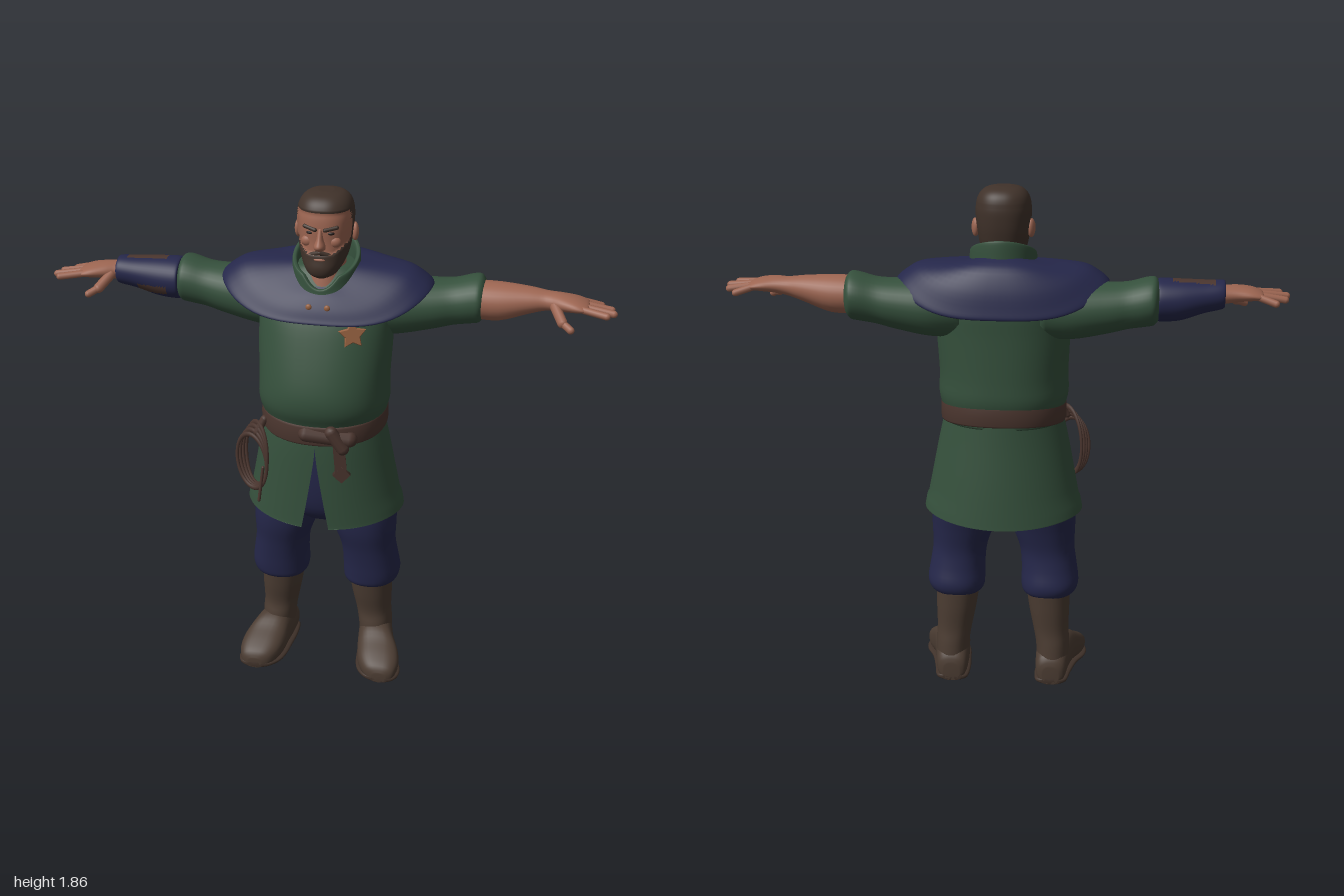
import * as THREE from 'three';

const TAU = Math.PI * 2;
const material = (name, color, side = THREE.FrontSide) => {
  const m = new THREE.MeshStandardMaterial({ color, side });
  m.name = name;
  return m;
};
const green = material('green cloth', 0x35503c, THREE.DoubleSide);
const navy = material('navy cloth', 0x25274a, THREE.DoubleSide);
const skin = material('skin', 0x9c6551);
const hair = material('hair', 0x40322a);
const leather = material('boot leather', 0x4b3c32);
const strap = material('strap leather', 0x4a352e);
const copper = material('copper', 0x95603f);
const dark = material('dark', 0x241c1a);

// Catmull-Rom subdivision of rows of numbers
function smooth(rows, k) {
  const out = [], at = i => rows[Math.max(0, Math.min(rows.length - 1, i))];
  for (let i = 0; i < rows.length - 1; i++) for (let s = 0; s < k; s++) {
    const t = s / k;
    out.push(rows[i].map((b, c) => {
      const a = at(i - 1)[c], d = at(i + 1)[c], e = at(i + 2)[c];
      return b + 0.5 * t * (d - a + t * (2 * a - 5 * b + 4 * d - e + t * (3 * (b - d) + e - a)));
    }));
  }
  out.push(rows[rows.length - 1]);
  return out;
}

// Skin over cross-sections; point(row, t) gives a position around each section
function loft(rows, point, { n = 32, k = 4, open = false, caps = true, pick } = {}) {
  const rr = smooth(rows, k), m = open ? n + 1 : n, pts = [], tris = [];
  rr.forEach(r => { for (let j = 0; j < m; j++) pts.push(new THREE.Vector3(...point(r, j / n))); });
  for (let i = 0; i < rr.length - 1; i++) for (let j = 0; j < n; j++) {
    const a = i * m + j, b = i * m + (j + 1) % m;
    tris.push([a, a + m, b], [b, a + m, b + m]);
  }
  const mean = list => list.reduce((s, p) => s.add(p), new THREE.Vector3()).divideScalar(list.length);
  if (caps) [0, (rr.length - 1) * m].forEach((base, end) => {
    const c = pts.push(mean(pts.slice(base, base + m))) - 1;
    for (let j = 0; j < n; j++) {
      const a = base + j, b = base + (j + 1) % m;
      tris.push(end ? [b, a, c] : [a, b, c]);
    }
  });
  // keep faces pointing outwards
  const mid = mean(pts), v = i => pts[i].clone().sub(mid);
  const volume = tris.reduce((s, [a, b, c]) => s + v(a).dot(v(b).cross(v(c))), 0);
  if (volume < 0) tris.forEach(t => t.reverse());
  const geo = new THREE.BufferGeometry().setFromPoints(pts);
  if (pick) {
    const sets = [[], []];
    tris.forEach(t => sets[pick(mean(t.map(i => pts[i]))) ? 1 : 0].push(...t));
    geo.setIndex(sets.flat());
    geo.addGroup(0, sets[0].length, 0);
    geo.addGroup(sets[0].length, sets[1].length, 1);
  } else geo.setIndex(tris.flat());
  geo.computeVertexNormals();
  return geo;
}

// Rounded section points: e = 2 is an ellipse, larger is boxier
const power = (v, e) => Math.sign(v) * Math.abs(v) ** (2 / e);
const oval = (a, rx, zf, zb, e = 2) =>
  [rx * power(Math.cos(a), e), (zf + zb) / 2 + (zf - zb) / 2 * power(Math.sin(a), e)];
// rows [y, centre x, half width, front z, back z]
const upright = (s = 1, e = 2.2) => ([y, cx, rx, zf, zb], t) => {
  const [x, z] = oval(t * TAU, rx, zf, zb, e);
  return [s * (cx + x), y, z];
};
// rows [x, centre y, half height, centre z, half depth]
const sideways = s => ([x, y, ry, z, rz], t) =>
  [s * x, y + ry * Math.sin(t * TAU), z + rz * Math.cos(t * TAU)];

export function createModel() {
  const model = new THREE.Group();
  model.name = 'ranger';
  const add = (name, geo, mat, pos = [0, 0, 0], rot = [0, 0, 0], scale = [1, 1, 1]) => {
    const mesh = new THREE.Mesh(geo, mat);
    mesh.name = name;
    mesh.position.set(...pos);
    mesh.rotation.set(...rot);
    mesh.scale.set(...scale);
    model.add(mesh);
    return mesh;
  };
  const ball = (name, mat, pos, scale, rot) => add(name, new THREE.SphereGeometry(1, 20, 14), mat, pos, rot, scale);
  const limb = (name, mat, from, to, r) => {
    const a = new THREE.Vector3(...from), b = new THREE.Vector3(...to), d = b.clone().sub(a);
    const mesh = add(name, new THREE.CapsuleGeometry(r, d.length(), 5, 10), mat, a.clone().add(b).divideScalar(2).toArray());
    mesh.quaternion.setFromUnitVectors(new THREE.Vector3(0, 1, 0), d.normalize());
  };

  // tunic body
  add('tunic', loft([
    [1.02, 0, .213, .2, -.168], [1.06, 0, .22, .208, -.172], [1.12, 0, .234, .232, -.188], [1.2, 0, .232, .23, -.187],
    [1.35, 0, .238, .184, -.185], [1.45, 0, .232, .143, -.185], [1.54, 0, .19, .085, -.165], [1.6, 0, .1, .05, -.12],
  ], upright(1, 2.25), { n: 48 }), green);

  // skirt with a front slit, hem turned inside; last column is half the slit
  add('skirt', loft([
    [1.05, .212, .2, -.168, 0], [.95, .235, .208, -.178, .002], [.8, .264, .211, -.196, .024],
    [.67, .289, .212, -.21, .047], [.655, .289, .212, -.21, .05], [.66, .272, .195, -.193, .055], [.74, .262, .19, -.185, .045],
  ], ([y, rx, zf, zb, w], t) => {
    const g = w / rx, a = Math.PI / 2 + g + t * (TAU - 2 * g), [x, z] = oval(a, rx, zf, zb);
    return [x, y + (y < .7 ? .022 * Math.cos(a) ** 2 : 0), z];
  }, { n: 56, open: true, caps: false }), green);

  // belt, knot and hanging end
  add('belt', loft([[-.035, .008], [-.03, .016], [.03, .016], [.035, .008]], ([h, out], t) => {
    const [x, z] = oval(t * TAU, .211 + out, .203 + out, -.17 - out, 2.2);
    return [x, 1.05 + h - .02 * Math.sin(t * TAU), z];
  }, { n: 48, k: 2, caps: false }), material('belt leather', 0x4a352e, THREE.DoubleSide));
  limb('beltKnot', strap, [-.03, 1.035, .205], [.12, 1.02, .19], .03);
  limb('beltLoop', strap, [.06, 1.05, .212], [.1, .99, .208], .024);
  add('beltEnd', new THREE.BoxGeometry(.042, .15, .018), strap, [.09, .945, .204], [0, .2, .08]);
  add('beltTip', new THREE.CylinderGeometry(.032, .032, .018, 4), strap, [.096, .885, .204], [Math.PI / 2, 0, -.2]);

  // coiled rope on the right hip
  for (let i = 0; i < 4; i++)
    add('ropeCoil', new THREE.TorusGeometry(.06, .0055, 8, 36), strap,
      [-.232 - i * .005, .895 - i * .008, .125 + i * .006], [0, -.75 + i * .1, -.1 + i * .05], [1.15, 2.15 - i * .12, 1]);
  limb('ropeEnd', strap, [-.2, .86, .165], [-.215, .73, .175], .006);
  limb('ropeTie', strap, [-.2, 1.04, .13], [-.225, .99, .14], .014);

  // hips
  add('hips', loft([[.62, 0, .1, .08, -.1], [.68, 0, .2, .14, -.14], [.8, 0, .205, .165, -.15], [.98, 0, .19, .17, -.15]], upright()), navy);

  for (const s of [1, -1]) {
    const side = s > 0 ? 'left' : 'right';
    // leg and boot
    add(side + 'Trouser', loft([
      [.78, .125, .12, .13, -.14], [.68, .14, .125, .142, -.135], [.6, .15, .117, .138, -.118], [.52, .163, .102, .12, -.105],
      [.45, .172, .103, .108, -.112], [.39, .176, .107, .1, -.125], [.355, .173, .1, .092, -.117], [.34, .17, .08, .07, -.1],
    ], upright(s)), navy);
    add(side + 'BootShaft', loft([
      [.06, .192, .06, .05, -.122], [.14, .19, .063, .055, -.115], [.2, .183, .066, .045, -.108], [.28, .176, .075, .06, -.112], [.36, .17, .081, .072, -.114],
    ], upright(s)), leather);
    // rows [z, centre x, half width, top]
    const foot = [[-.128, .188, .03, .07], [-.11, .188, .055, .11], [-.04, .192, .064, .15], [.04, .205, .07, .155],
      [.1, .222, .08, .12], [.15, .232, .076, .092], [.188, .24, .055, .065], [.202, .243, .025, .04]];
    const section = (grow, top) => ([z, cx, w, h], t) => {
      const y = top || h;
      return [s * (cx + w * grow * power(Math.cos(t * TAU), 2.6)), y / 2 + y / 2 * power(Math.sin(t * TAU), 2.6), z];
    };
    add(side + 'Foot', loft(foot, section(1)), leather);
    add(side + 'Sole', loft(foot, section(1.07, .024)), hair);

    // sleeve
    add(side + 'Sleeve', loft([
      [.14, 1.45, .115, -.05, .12], [.25, 1.443, .105, -.065, .118], [.37, 1.452, .09, -.072, .102], [.44, 1.463, .083, -.075, .092],
      [.5, 1.476, .086, -.077, .096], [.53, 1.48, .084, -.076, .094], [.545, 1.48, .068, -.072, .076],
    ], sideways(s)), green);
    // forearm and palm
    add(side + 'Forearm', loft([
      [.5, 1.48, .066, -.066, .074], [.6, 1.48, .067, -.062, .072], [.7, 1.494, .047, -.055, .055], [.76, 1.5, .034, -.048, .044],
      [.81, 1.503, .03, -.035, .052], [.86, 1.502, .024, -.028, .062], [.895, 1.498, .016, -.026, .058], [.905, 1.498, .008, -.026, .04],
    ], sideways(s)), skin);
    [[.018, .965, .045], [-.012, .988, .008], [-.042, .98, -.04], [-.068, .945, -.088]].forEach(([z0, x1, z1], i) =>
      limb(side + 'Finger', skin, [s * .88, 1.5, z0], [s * x1, 1.492 - i * .004, z1], .0125));
    limb(side + 'Thumb', skin, [s * .79, 1.495, -.005], [s * .82, 1.46, .05], .018);
    limb(side + 'ThumbTip', skin, [s * .82, 1.46, .05], [s * .85, 1.445, .075], .013);

    // face pairs and mantle buttons
    ball(side + 'Ear', skin, [s * .098, 1.715, -.012], [.013, .033, .021], [0, s * .3, 0]);
    ball(side + 'Eye', dark, [s * .035, 1.738, .1], [.013, .006, .008]);
    limb(side + 'Brow', hair, [s * .017, 1.75, .109], [s * .055, 1.758, .095], .007);
    ball(side + 'Cheek', skin, [s * .045, 1.705, .088], [.024, .02, .016]);
    limb(side + 'Moustache', hair, [0, 1.672, .114], [s * .036, 1.66, .102], .009);
    ball(side + 'Button', copper, [s * .032, 1.487, .147], [.011, .011, .007]);
  }

  // bracer with leather patches on the right forearm
  add('bracer', loft([
    [.54, 1.482, .066, -.062, .078], [.55, 1.482, .075, -.062, .084], [.62, 1.484, .072, -.062, .078],
    [.7, 1.495, .058, -.056, .066], [.765, 1.502, .05, -.05, .055], [.77, 1.502, .036, -.05, .042],
  ], sideways(-1), {
    n: 48, k: 8,
    pick: p => (p.x > -.735 && p.x < -.59 && p.y > 1.49 && Math.abs(p.z + .064) < .025) ||
      (p.x > -.69 && p.x < -.58 && p.z > -.06 && p.y > 1.435 && p.y < 1.468),
  }), [navy, strap]);

  // mantle: rows [half width, front z, back z, front y, side y, back y]
  add('mantle', loft([
    [.105, .1, -.12, 1.545, 1.61, 1.63], [.2, .128, -.175, 1.515, 1.606, 1.6], [.29, .152, -.21, 1.48, 1.595, 1.535],
    [.345, .167, -.228, 1.45, 1.565, 1.465], [.372, .174, -.233, 1.435, 1.54, 1.438], [.366, .163, -.223, 1.432, 1.535, 1.434], [.34, .155, -.215, 1.445, 1.54, 1.445],
  ], ([rx, zf, zb, yf, ys, yb], t) => {
    const a = t * TAU, [x, z] = oval(a, rx, zf, zb, 2.4), w = Math.abs(Math.cos(a)) ** 3;
    return [x, ys * w + (Math.sin(a) > 0 ? yf : yb) * (1 - w), z];
  }, { n: 64, caps: false }), navy);

  // standing collar, open at the throat: rows [height share, growth]
  add('collar', loft([[0, .012], [.5, .008], [.92, .006], [1, 0], [.9, -.012], [.3, -.014]], ([h, grow], t) => {
    const a = t * TAU, sn = Math.sin(a), [x, z] = oval(a, .112 + grow, .112 + grow, -.122 - grow);
    const top = 1.632 - .055 * sn - Math.max(0, sn - .85) * .25;
    return [x, THREE.MathUtils.lerp(1.52 - .01 * sn, top, h), z];
  }, { n: 64, caps: false }), green);

  // copper star badge
  const star = new THREE.Shape();
  for (let i = 0; i < 10; i++) {
    const a = Math.PI / 2 + i * TAU / 10, r = i % 2 ? .024 : .046;
    star[i ? 'lineTo' : 'moveTo'](r * Math.cos(a), r * Math.sin(a));
  }
  add('badge', new THREE.ExtrudeGeometry(star, { depth: .01, bevelSize: .003, bevelThickness: .004, bevelSegments: 1 }),
    copper, [.12, 1.4, .148], [-.2, .3, .1]);

  // neck and head, hair and beard as raised faces
  add('neck', loft([[1.5, 0, .075, .095, -.09], [1.58, 0, .068, .075, -.09], [1.68, 0, .066, .05, -.085]], upright()), skin);
  const hairy = (x, y, z) => y > 1.803 || z < .005 || (Math.abs(x) > .075 && z < .03) ||
    y < 1.664 + Math.max(0, Math.abs(x) - .04) * .7;
  const base = upright(1, 2.3);
  add('head', loft([
    [1.578, 0, .02, .1, .05], [1.59, 0, .045, .113, .01], [1.615, 0, .064, .119, -.045], [1.65, 0, .078, .114, -.078],
    [1.7, 0, .087, .109, -.092], [1.75, 0, .092, .109, -.098], [1.79, 0, .092, .104, -.098], [1.825, 0, .082, .09, -.088],
    [1.847, 0, .06, .065, -.065], [1.856, 0, .025, .03, -.03],
  ], (r, t) => {
    const [x, y, z] = base(r, t), g = hairy(x, y, z) ? 1.05 : 1;
    return [x * g, y + (y > 1.8 ? .004 : 0), z * g];
  }, { n: 72, k: 7, pick: p => hairy(p.x, p.y, p.z / 1.02) }), [skin, hair]);
  add('nose', loft([[1.755, 0, .009, .11, .08], [1.72, 0, .012, .128, .08], [1.698, 0, .019, .143, .08],
    [1.685, 0, .019, .135, .08], [1.678, 0, .012, .12, .08]], upright(1, 2)), skin);
  ball('lip', skin, [0, 1.648, .118], [.02, .005, .006]);

  return model;
}
